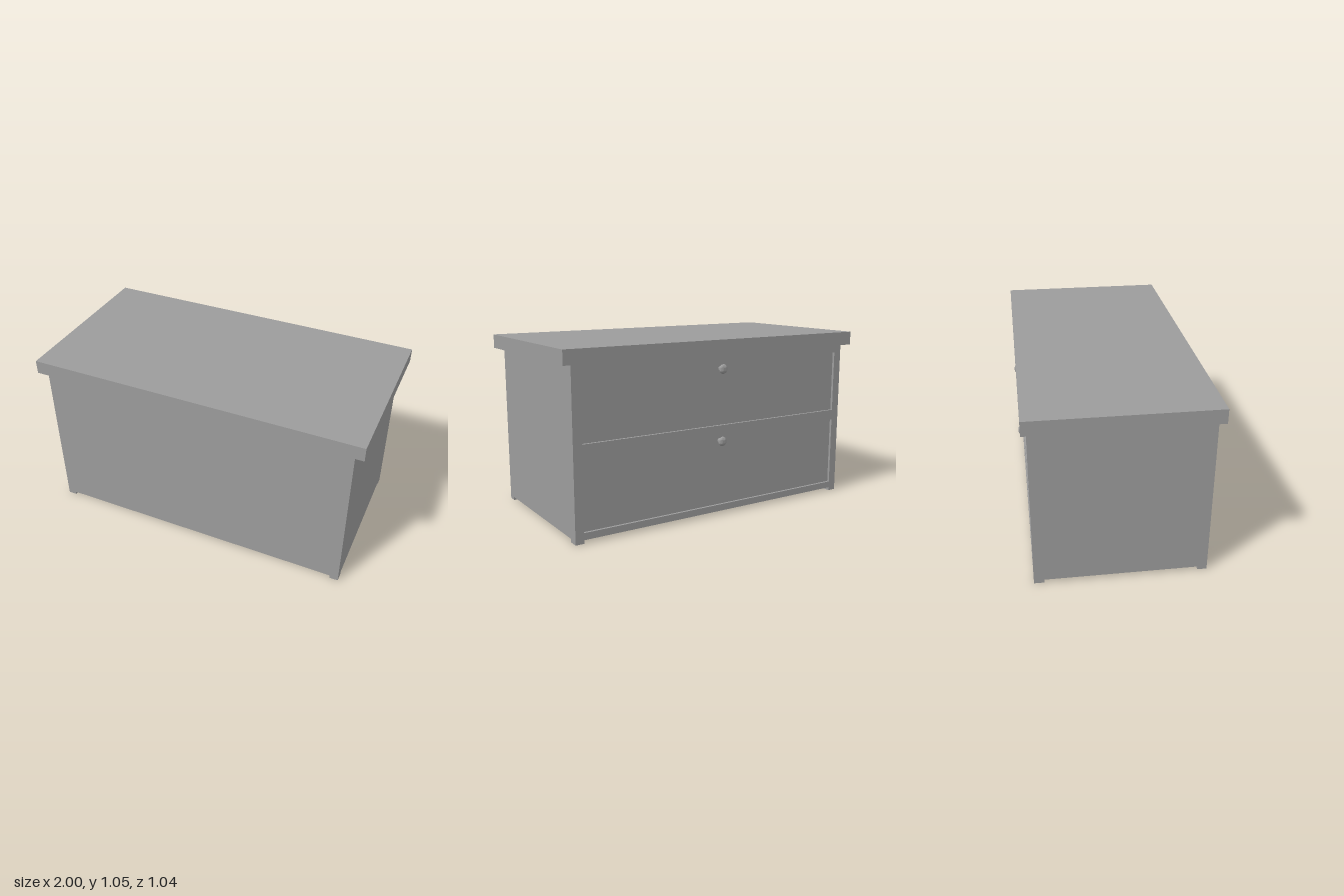
import * as THREE from 'three';
import { toCreasedNormals } from 'three/addons/utils/BufferGeometryUtils.js';

export function createModel() {
  const model = new THREE.Group();
  model.name = 'drawerChest';
  const grey = new THREE.MeshStandardMaterial({ color: 0x9c9c9c });
  grey.name = 'grey';

  const add = (name, geometry, x = 0, y = 0, z = 0) => {
    const mesh = new THREE.Mesh(geometry, grey);
    mesh.name = name;
    mesh.position.set(x, y, z);
    model.add(mesh);
    return mesh;
  };
  // Box given by its limits on each axis
  const box = (name, [x0, x1], [y0, y1], [z0, z1]) =>
    add(name, new THREE.BoxGeometry(x1 - x0, y1 - y0, z1 - z0),
      (x0 + x1) / 2, (y0 + y1) / 2, (z0 + z1) / 2);

  const halfW = 0.945, bottom = 0.02, top = 0.968;
  const faceZ = -0.486, frameZ = -0.46, wallZ = 0.494;

  // Overhanging top and closed carcass
  box('topBoard', [-1, 1], [top, 1.05], [-0.515, 0.52]);
  box('carcass', [-halfW, halfW], [bottom, top], [frameZ, wallZ]);

  // Short square feet at the corners
  for (const s of [-1, 1]) {
    const xs = s < 0 ? [-halfW, -0.893] : [0.893, halfW];
    box('foot', xs, [0, bottom], [0.44, wallZ]);
    box('foot', xs, [0, bottom], [faceZ, -0.427]);
  }

  // Face frame with two openings, one per drawer
  const drawers = [
    { y0: 0.06, y1: 0.48, knobY: 0.452 },
    { y0: 0.545, y1: 0.92, knobY: 0.879 },
  ];
  const inner = 0.894;
  const rect = (target, w, y0, y1) => target
    .moveTo(-w, y0).lineTo(w, y0).lineTo(w, y1).lineTo(-w, y1).closePath();
  const frame = rect(new THREE.Shape(), halfW, bottom, top);
  for (const d of drawers) frame.holes.push(rect(new THREE.Path(), inner, d.y0, d.y1));
  add('faceFrame', new THREE.ExtrudeGeometry(frame, { depth: frameZ - faceZ, bevelEnabled: false }), 0, 0, faceZ);

  // Mushroom knob: stem, flat underside and shallow dome
  const profile = [[0.013, 0], [0.013, 0.031], [0.028, 0.031]];
  for (let i = 1; i <= 6; i++) {
    const a = (i / 6) * Math.PI / 2;
    profile.push([i === 6 ? 0 : 0.028 * Math.cos(a), 0.031 + 0.019 * Math.sin(a)]);
  }
  const knob = toCreasedNormals(
    new THREE.LatheGeometry(profile.map(([r, y]) => new THREE.Vector2(r, y)), 24), 0.7);

  // Recessed drawer fronts with their knobs
  const drawerZ = -0.471;
  for (const d of drawers) {
    box('drawerFront', [-inner, inner], [d.y0, d.y1], [drawerZ, frameZ]);
    add('knob', knob, 0, d.knobY, drawerZ).rotation.x = -Math.PI / 2;
  }
  return model;
}
